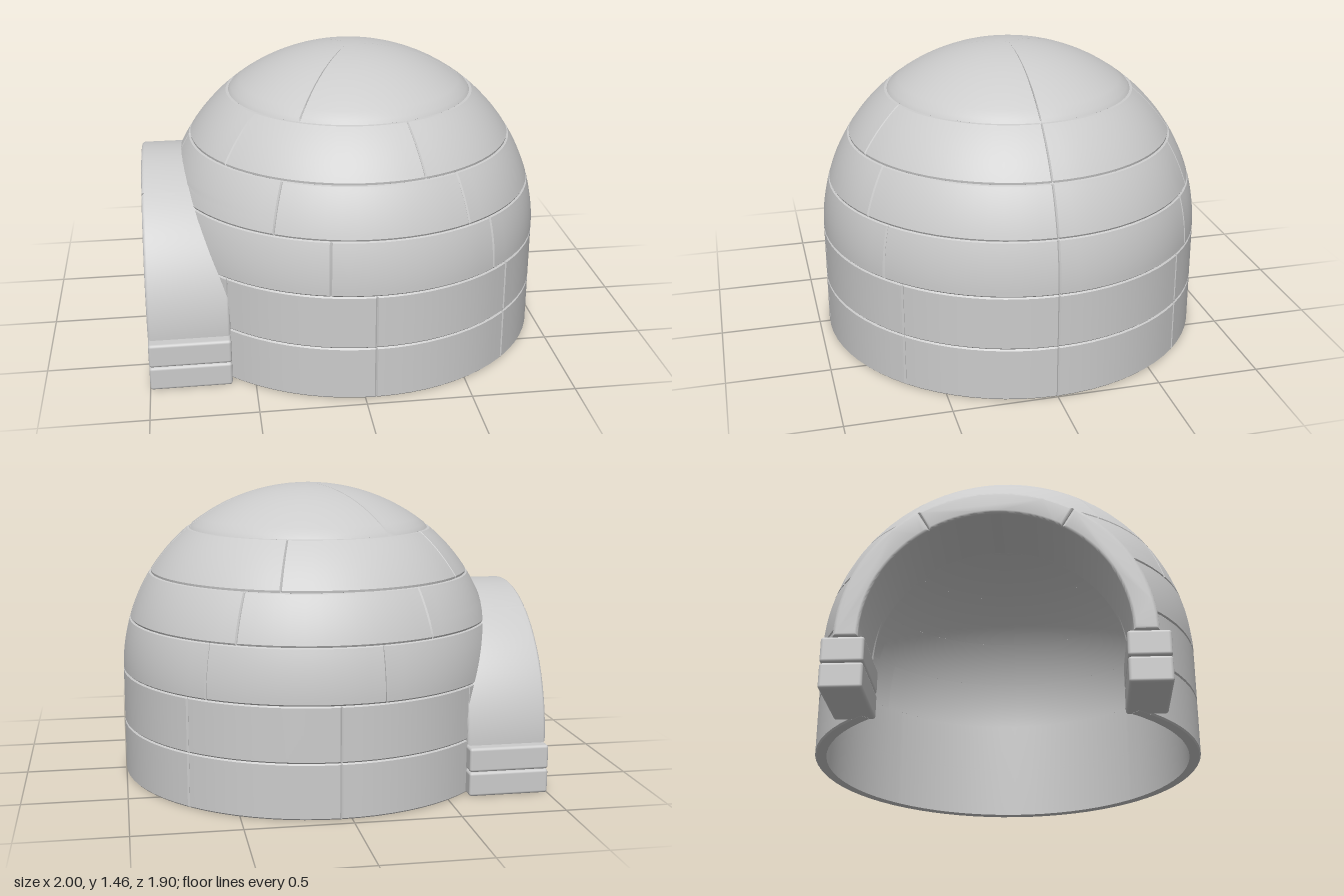
import * as THREE from 'three';
import { toCreasedNormals } from 'three/addons/utils/BufferGeometryUtils.js';
import { RoundedBoxGeometry } from 'three/addons/geometries/RoundedBoxGeometry.js';

const CX = 0.05, R = 0.95, WALL = 0.53, RISE = 0.925, THICK = 0.055;
const SPRING = 0.24, OPENING = 0.62, GROOVE = 0.007;
const material = new THREE.MeshStandardMaterial({ color: 0xcccccc });

// Radius and height of the shell at height y, sunk inwards by d
function shell(y, d) {
  if (y <= WALL) return [R - d, y];
  const a = Math.asin(Math.min(1, (y - WALL) / RISE));
  return [(R - d) * Math.cos(a), WALL + (RISE - d) * Math.sin(a)];
}

// Half angle of the doorway at height y
function doorAngle(y) {
  const up = Math.max(0, y - SPRING);
  if (up >= OPENING) return 0;
  return Math.asin(Math.sqrt(OPENING * OPENING - up * up) / shell(y, 0)[0]);
}

// Steps from 0 to 1, with a narrow first and last step for the grooved edges
function steps(n, edge) {
  const list = [0];
  for (let i = 0; i <= n; i++) list.push(edge + (1 - 2 * edge) * i / n);
  return [...list, 1];
}

// One curved, hollow-shell snow block between two heights and two angles
function snowBlock(y0, y1, a0, a1) {
  const us = steps(Math.max(4, Math.ceil((a1 - a0) / 0.09)), GROOVE / (R * (a1 - a0)));
  const isCap = y1 > 1.4;
  const heights = steps(12, GROOVE / (y1 - y0)).map((t) => {
    if (!isCap) return y0 + (y1 - y0) * t;
    // even arc spacing towards the crown
    const s = Math.asin((y0 - WALL) / RISE);
    return WALL + RISE * Math.sin(s + (Math.PI / 2 - s) * t);
  });
  const n = heights.length, m = us.length, pos = [];
  const spans = heights.map((y) => {
    if (y0 > SPRING + OPENING) return [a0, a1];
    const door = doorAngle(y), mid = (a0 + a1) / 2;
    return mid < Math.PI
      ? [Math.min(a0, Math.PI - door), Math.min(a1, Math.PI - door)]
      : [Math.max(a0, Math.PI + door), Math.max(a1, Math.PI + door)];
  });
  const point = (i, k) => {
    const inner = k >= n, j = inner ? 2 * n - 1 - k : k;
    const edge = i === 0 || i === m - 1 || j === 0 || (j === n - 1 && !isCap);
    const [r, y] = shell(heights[j], inner ? THICK : edge ? GROOVE : 0);
    const a = spans[j][0] + (spans[j][1] - spans[j][0]) * us[i];
    return new THREE.Vector3(CX + r * Math.cos(a), y, r * Math.sin(a));
  };
  const tri = (a, b, c) => {
    const area = b.clone().sub(a).cross(c.clone().sub(a)).length();
    if (area > 1e-9) for (const p of [a, b, c]) pos.push(p.x, p.y, p.z);
  };
  const quad = (a, b, c, d) => { tri(a, b, c); tri(a, c, d); };
  // skin around the block
  for (let i = 0; i < m - 1; i++) {
    for (let k = 0; k < 2 * n; k++) {
      const k2 = (k + 1) % (2 * n);
      quad(point(i, k), point(i, k2), point(i + 1, k2), point(i + 1, k));
    }
  }
  // end faces
  for (let j = 0; j < n - 1; j++) {
    const open = (s) => s[1] - s[0] > 1e-5;
    if (!open(spans[j]) && !open(spans[j + 1])) continue;
    const ring = [j, j + 1, 2 * n - 2 - j, 2 * n - 1 - j];
    quad(...ring.map((k) => point(m - 1, k)));
    quad(...ring.reverse().map((k) => point(0, k)));
  }
  if (!pos.length) return null;
  const geometry = new THREE.BufferGeometry();
  geometry.setAttribute('position', new THREE.Float32BufferAttribute(pos, 3));
  return toCreasedNormals(geometry, 0.5);
}

// One stone of the entrance arch, between two angles
function archStone(a0, a1) {
  const bevel = 0.014, inner = 0.59, outer = 0.7;
  const shape = new THREE.Shape();
  shape.absarc(0, 0, outer, a0, a1, false);
  shape.absarc(0, 0, inner, a1, a0, true);
  shape.closePath();
  const geometry = new THREE.ExtrudeGeometry(shape, {
    depth: 0.39 - 2 * bevel, curveSegments: 20,
    bevelEnabled: true, bevelThickness: bevel, bevelSize: bevel, bevelOffset: -bevel, bevelSegments: 3,
  });
  geometry.rotateY(Math.PI / 2).translate(-1 + bevel, SPRING, 0);
  return toCreasedNormals(geometry, 0.6);
}

export function createModel() {
  const model = new THREE.Group();
  model.name = 'igloo';
  const add = (parent, name, geometry) => {
    if (!geometry) return;
    const mesh = new THREE.Mesh(geometry, material);
    mesh.name = name;
    parent.add(mesh);
  };

  // Courses of blocks: bottom, top, number of blocks
  const courses = [
    [0, 0.265, 8], [0.265, 0.53, 8], [0.53, 0.79, 7],
    [0.79, 1.02, 6], [1.02, 1.24, 5], [1.24, WALL + RISE, 3],
  ];
  courses.forEach(([y0, y1, count], c) => {
    const course = new THREE.Group();
    course.name = c < 2 ? 'wallCourse' : c < 5 ? 'domeCourse' : 'domeCap';
    for (let b = 0; b < count; b++) {
      const a0 = b / count * Math.PI * 2, a1 = (b + 1) / count * Math.PI * 2;
      // a block that spans the doorway is built as two halves
      if (y0 < SPRING + OPENING && a0 < Math.PI - 0.01 && a1 > Math.PI + 0.01) {
        add(course, 'snowBlock', snowBlock(y0, y1, a0, Math.PI));
        add(course, 'snowBlock', snowBlock(y0, y1, Math.PI, a1));
      } else {
        add(course, 'snowBlock', snowBlock(y0, y1, a0, a1));
      }
    }
    model.add(course);
  });

  // Entrance arch: two side stones and a keystone on stacked footings
  const entrance = new THREE.Group();
  entrance.name = 'entrance';
  const third = Math.PI / 3;
  add(entrance, 'archSide', archStone(0, third));
  add(entrance, 'keystone', archStone(third, 2 * third));
  add(entrance, 'archSide', archStone(2 * third, Math.PI));
  for (const side of [-1, 1]) {
    for (const y of [0.06, 0.18]) {
      const box = new RoundedBoxGeometry(0.39, 0.118, 0.19, 3, 0.014);
      add(entrance, 'footing', box.translate(-0.805, y, side * 0.655));
    }
  }
  model.add(entrance);
  return model;
}
